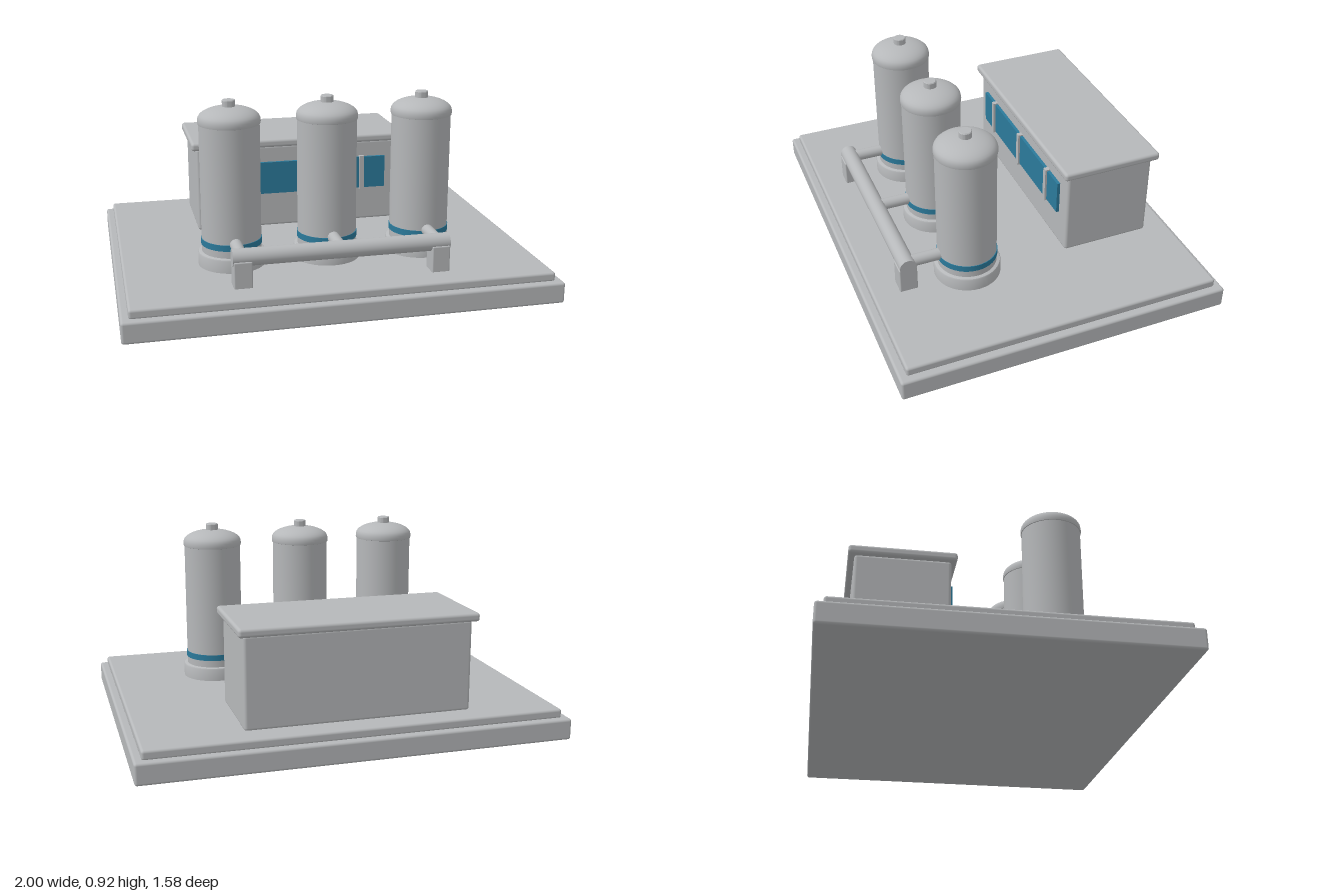
import * as THREE from 'three';
import { RoundedBoxGeometry } from 'three/addons/geometries/RoundedBoxGeometry.js';
import { toCreasedNormals } from 'three/addons/utils/BufferGeometryUtils.js';

export function createModel() {
  const model = new THREE.Group();
  model.name = 'tankStation';

  const grey = new THREE.MeshStandardMaterial({ color: 0xb6b8ba });
  grey.name = 'paleGrey';
  const blue = new THREE.MeshStandardMaterial({ color: 0x2b7a9b });
  blue.name = 'steelBlue';

  const add = (parent, name, geometry, material, x = 0, y = 0, z = 0) => {
    const mesh = new THREE.Mesh(geometry, material);
    mesh.name = name;
    mesh.position.set(x, y, z);
    parent.add(mesh);
    return mesh;
  };

  // Box given by its limits on each axis, with softened edges
  const block = (parent, name, material, [x0, x1], [y0, y1], [z0, z1], r) => add(
    parent, name,
    new RoundedBoxGeometry(x1 - x0, y1 - y0, z1 - z0, 3, r), material,
    (x0 + x1) / 2, (y0 + y1) / 2, (z0 + z1) / 2);

  const lathe = (points) => toCreasedNormals(
    new THREE.LatheGeometry(points.map(([r, y]) => new THREE.Vector2(r, y)), 40), 0.6);

  // Stepped foundation
  block(model, 'foundation', grey, [-1, 1], [0, 0.1], [-0.79, 0.79], 0.012);
  block(model, 'deck', grey, [-0.965, 0.965], [0.095, 0.14], [-0.755, 0.755], 0.012);

  // Control cabin with overhanging roof and a long window
  const cabin = new THREE.Group();
  cabin.name = 'cabin';
  model.add(cabin);
  block(cabin, 'cabinBody', grey, [-0.555, 0.505], [0.135, 0.565], [-0.637, -0.2], 0.015);
  block(cabin, 'cabinRoof', grey, [-0.58, 0.53], [0.56, 0.6], [-0.665, -0.175], 0.014);
  add(cabin, 'window', new THREE.BoxGeometry(0.9, 0.165, 0.02), blue, -0.025, 0.397, -0.195);
  for (const x of [-0.35, -0.025, 0.3]) {
    add(cabin, 'windowBar', new THREE.BoxGeometry(0.024, 0.178, 0.026), grey, x, 0.397, -0.188);
  }

  // Three domed tanks, each with a branch pipe to the manifold
  const tankZ = 0.285, pipeZ = 0.585;
  const footGeometry = lathe([
    [0, 0.135], [0.157, 0.135], [0.157, 0.197], [0.154, 0.203], [0.148, 0.206], [0, 0.206]]);
  const bodyGeometry = lathe([[0.139, 0.2], [0.139, 0.815]]);
  const bandGeometry = lathe([[0.138, 0.24], [0.142, 0.24], [0.142, 0.269], [0.138, 0.269]]);
  const domeProfile = [[0.136, 0.805], [0.142, 0.807], [0.144, 0.816], [0.143, 0.828]];
  for (let i = 1; i <= 10; i++) {
    const a = (i / 10) * Math.PI / 2;
    domeProfile.push([0.143 * Math.cos(a), 0.828 + 0.059 * Math.sin(a)]);
  }
  const domeGeometry = lathe(domeProfile);
  const capGeometry = lathe([[0.03, 0.87], [0.03, 0.912], [0.027, 0.916], [0, 0.916]]);
  const branchGeometry = new THREE.CylinderGeometry(0.028, 0.028, pipeZ - tankZ - 0.1, 24);
  branchGeometry.rotateX(Math.PI / 2);

  for (const x of [-0.456, 0, 0.456]) {
    const tank = new THREE.Group();
    tank.name = 'tank';
    tank.position.set(x, 0, tankZ);
    model.add(tank);
    add(tank, 'tankFoot', footGeometry, grey);
    add(tank, 'tankBody', bodyGeometry, grey);
    add(tank, 'tankBand', bandGeometry, blue);
    add(tank, 'tankDome', domeGeometry, grey);
    add(tank, 'tankCap', capGeometry, grey);
    add(tank, 'branchPipe', branchGeometry, grey, 0, 0.272, (pipeZ - tankZ + 0.1) / 2);
  }

  // Manifold pipe on two posts
  const manifold = new THREE.CylinderGeometry(0.04, 0.04, 1, 32);
  manifold.rotateZ(Math.PI / 2);
  add(model, 'manifoldPipe', manifold, grey, 0, 0.272, pipeZ);
  for (const s of [-1, 1]) {
    block(model, 'pipePost', grey, [s * 0.456 - 0.042, s * 0.456 + 0.042],
      [0.135, 0.262], [pipeZ - 0.043, pipeZ + 0.043], 0.006);
  }

  return model;
}
